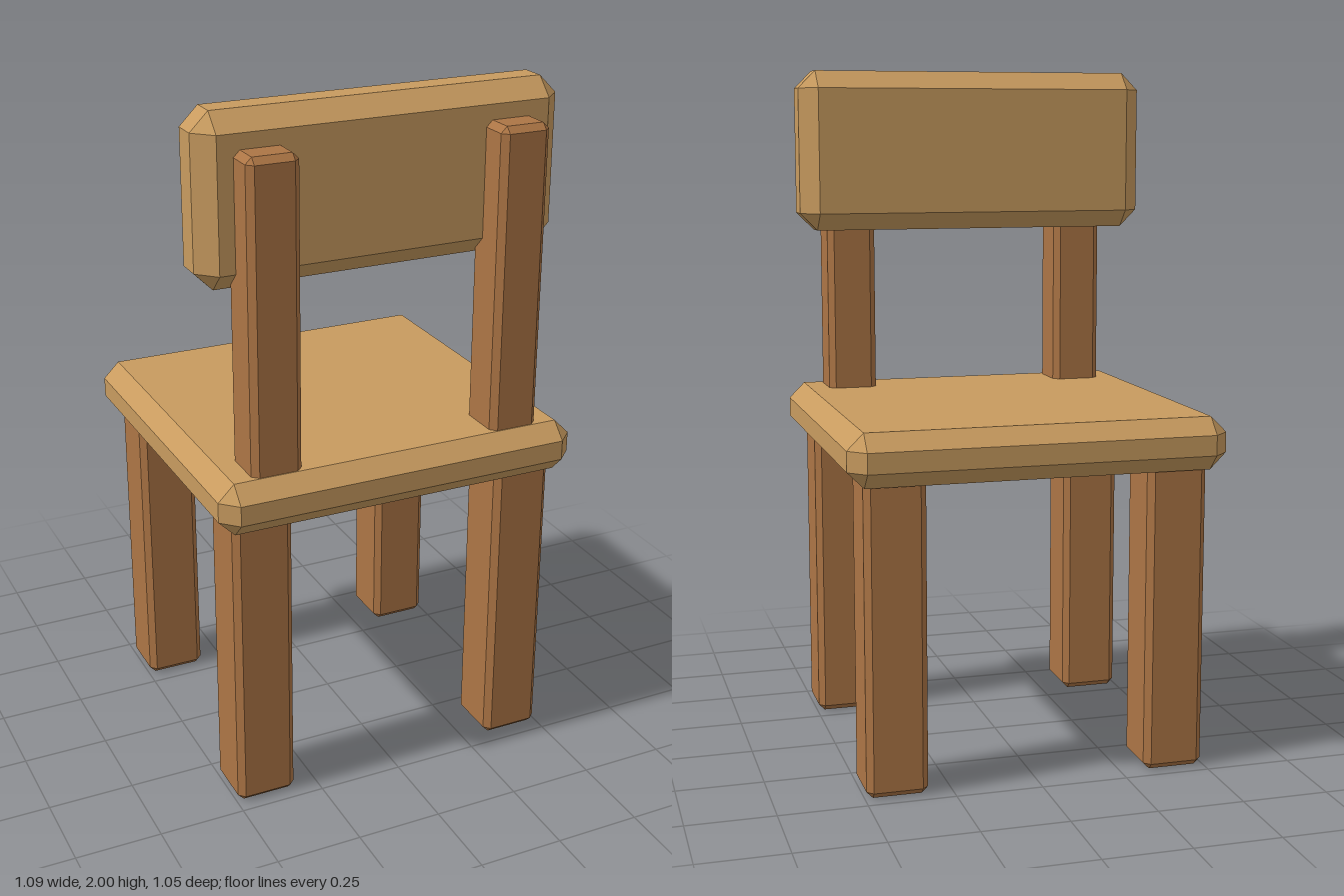
import * as THREE from 'three';
import { ConvexGeometry } from 'three/addons/geometries/ConvexGeometry.js';

// Box with every edge and corner cut flat by the bevel size
function bevelledBox(w, h, d, bevel) {
  const half = [w / 2, h / 2, d / 2];
  const points = [];
  for (const sx of [-1, 1]) for (const sy of [-1, 1]) for (const sz of [-1, 1]) {
    for (let outer = 0; outer < 3; outer++) {
      const p = half.map((v, axis) => (axis === outer ? v : v - bevel));
      points.push(new THREE.Vector3(p[0] * sx, p[1] * sy, p[2] * sz));
    }
  }
  return new ConvexGeometry(points);
}

export function createModel() {
  const chair = new THREE.Group();
  chair.name = 'chair';

  const lightWood = new THREE.MeshStandardMaterial({ color: 0xc89b5f });
  lightWood.name = 'lightWood';
  const darkWood = new THREE.MeshStandardMaterial({ color: 0xac7545 });
  darkWood.name = 'darkWood';

  function add(name, geometry, material, x, y, z) {
    const mesh = new THREE.Mesh(geometry, material);
    mesh.name = name;
    mesh.position.set(x, y, z);
    chair.add(mesh);
  }

  // Seat and backrest boards
  add('seat', bevelledBox(1.086, 0.152, 1.05, 0.047), lightWood, 0, 0.956, 0);
  add('backrest', bevelledBox(1.07, 0.475, 0.177, 0.052), lightWood, 0, 1.7625, 0.2925);

  // Four legs and the two posts that carry the backrest
  const leg = bevelledBox(0.175, 0.93, 0.175, 0.018);
  const post = bevelledBox(0.147, 0.965, 0.15, 0.018);
  for (const [side, s] of [['left', 1], ['right', -1]]) {
    add(side + 'LegByPosts', leg, darkWood, s * 0.407, 0.465, 0.378);
    add(side + 'LegOpenSide', leg, darkWood, s * 0.407, 0.465, -0.378);
    add(side + 'BackPost', post, darkWood, s * 0.365, 1.4225, 0.4);
  }

  return chair;
}
